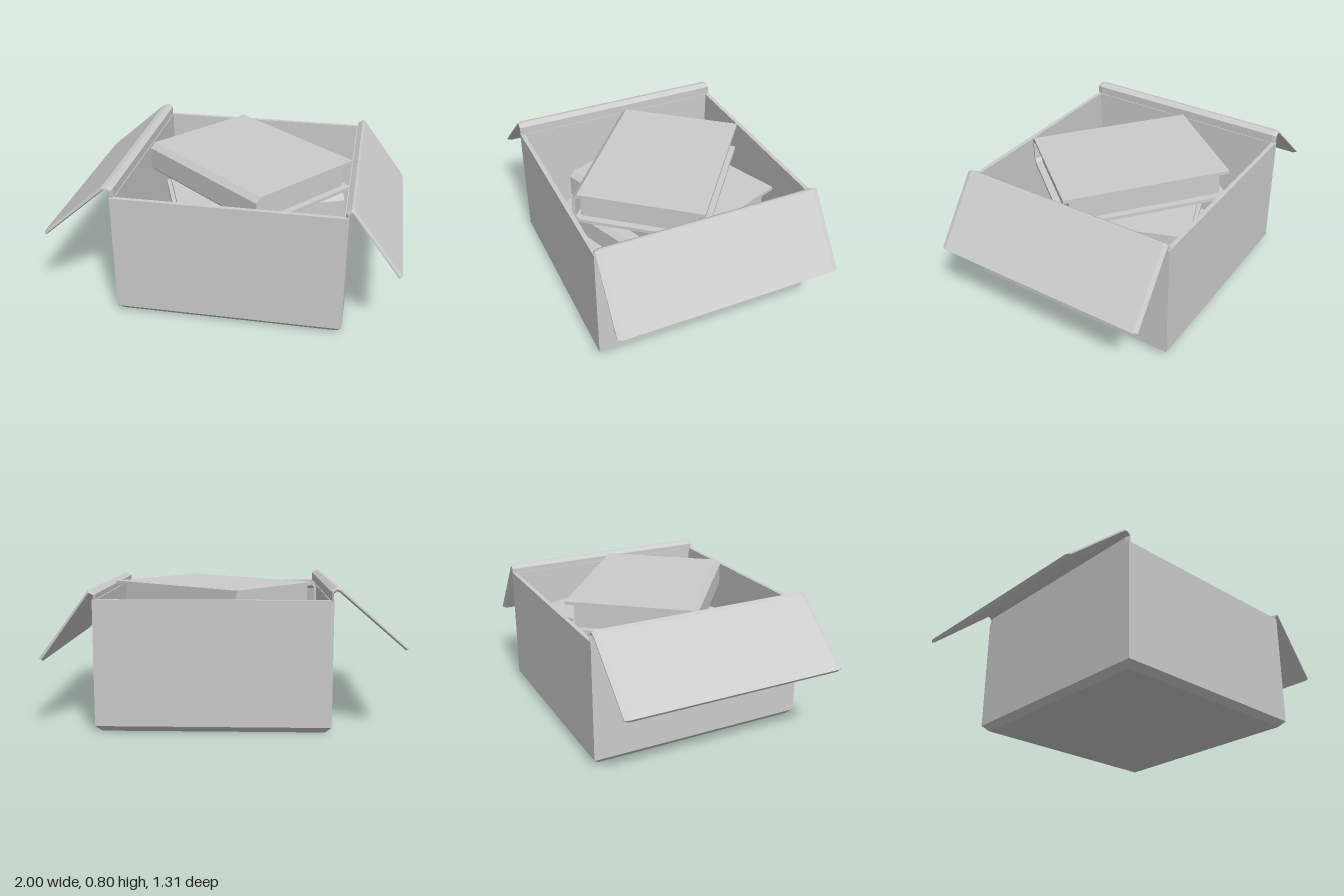
import * as THREE from 'three';

const material = new THREE.MeshStandardMaterial({ color: 0xcccccc, flatShading: true, side: THREE.DoubleSide });

function addMesh(parent, name, geometry) {
  const mesh = new THREE.Mesh(geometry, material);
  mesh.name = name;
  parent.add(mesh);
  return mesh;
}

const toShape = (points) => new THREE.Shape(points.map(([x, y]) => new THREE.Vector2(x, y)));

// Open carton: a four-sided lathe with chamfered foot, thin walls and a floor
function makeCarton() {
  const profile = [[0, 0], [0.62, 0], [0.655, 0.035], [0.655, 0.73], [0.63, 0.73], [0.63, 0.03], [0, 0.03]]
    .map(([r, y]) => new THREE.Vector2(r * Math.SQRT2, y));
  const geometry = new THREE.LatheGeometry(profile, 4, Math.PI / 4);
  geometry.scale(0.645 / 0.655, 1, 1);
  geometry.translate(0.05, 0, 0);
  return geometry;
}

// Flap: folded sheet section swept along the depth, with bevelled ends
function makeFlap(section) {
  const geometry = new THREE.ExtrudeGeometry(toShape(section), {
    depth: 1.26, bevelEnabled: true, bevelThickness: 0.025, bevelSize: 0.008, bevelOffset: -0.008, bevelSegments: 1,
  });
  geometry.translate(0, 0, -0.63);
  return geometry;
}

// Book: a U-shaped cover with chamfered spine around an inset block of pages
const LENGTH = 0.97, DEPTH = 0.75, THICK = 0.186, COVER = 0.02, BEVEL = 0.03;

function makeBook() {
  const book = new THREE.Group();
  const d = DEPTH / 2, i = COVER, b = BEVEL, t = THICK;
  const section = toShape([
    [-d, 0], [d - b, 0], [d, b], [d, t - b], [d - b, t], [-d, t],
    [-d, t - i], [d - b - 0.01, t - i], [d - i, t - b - 0.01], [d - i, b + 0.01], [d - b - 0.01, i], [-d, i],
  ]);
  const cover = new THREE.ExtrudeGeometry(section, { depth: LENGTH, bevelEnabled: false });
  cover.translate(0, 0, -LENGTH / 2);
  cover.rotateY(-Math.PI / 2);
  addMesh(book, 'bookCover', cover);

  const pages = addMesh(book, 'bookPages', new THREE.BoxGeometry(LENGTH - 0.08, t - 2 * i, DEPTH - 0.075));
  pages.position.set(0, t / 2, 0.0025);
  return book;
}

export function createModel() {
  const model = new THREE.Group();
  model.name = 'boxOfBooks';

  addMesh(model, 'carton', makeCarton());

  // Side flaps folded outward over the rim
  addMesh(model, 'rightFlap', makeFlap([
    [-0.595, 0.725], [-0.575, 0.725], [-0.575, 0.78], [-0.605, 0.8], [-0.635, 0.792],
    [-1.0, 0.475], [-0.987, 0.458], [-0.625, 0.77], [-0.61, 0.777], [-0.595, 0.765],
  ]));
  addMesh(model, 'leftFlap', makeFlap([
    [0.695, 0.725], [0.695, 0.75], [0.71, 0.755], [0.975, 0.392], [0.997, 0.403],
    [0.718, 0.777], [0.705, 0.777], [0.677, 0.758], [0.677, 0.725],
  ]));

  // Stack of books, bottom to top: x, z, turn
  const stack = [
    [0.095, -0.095, 0],
    [0.086, -0.005, 0.364],
    [0.06, -0.068, 0.364],
    [0.0625, 0.003, -0.68],
  ];
  stack.forEach(([x, z, turn], level) => {
    const book = makeBook();
    book.name = `book${level + 1}`;
    book.position.set(x, 0.03 + level * THICK, z);
    book.rotation.y = turn;
    model.add(book);
  });

  return model;
}
